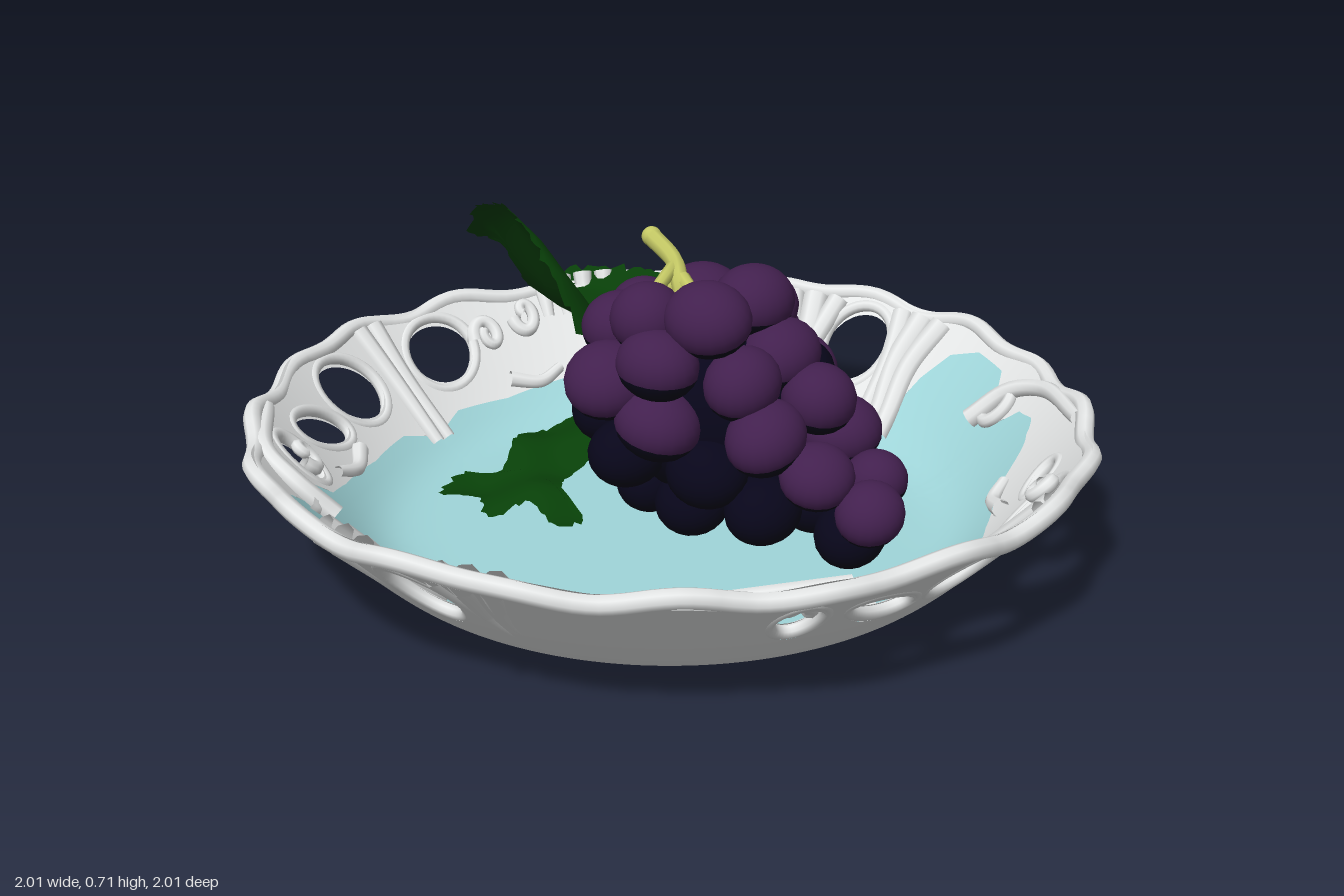
import * as THREE from 'three';

const mat = (name, color, side = THREE.FrontSide) => {
  const m = new THREE.MeshStandardMaterial({ color, side });
  m.name = name;
  return m;
};
const DEG = Math.PI / 180;
const V = (x, y, z) => new THREE.Vector3(x, y, z);

// piecewise-linear lookup in [[x, y], ...]
function lookup(keys, x) {
  for (let i = 1; i < keys.length; i++) {
    if (x <= keys[i][0]) {
      const [a, b] = [keys[i - 1], keys[i]];
      return a[1] + (b[1] - a[1]) * THREE.MathUtils.clamp((x - a[0]) / (b[0] - a[0]), 0, 1);
    }
  }
  return keys[keys.length - 1][1];
}

// bowl: height by radius, scalloped rim radius, outer limit of the glaze
const height = r => 0.037 * Math.log(1 + Math.exp((r - 0.68) / 0.035));
const rimRadius = a => 0.967 + 0.006 * Math.cos(4 * a) + 0.008 * Math.cos(20 * a);
const GLAZE = [[0, 0.7], [8, 0.66], [13, 0.72], [16, 0.84], [19, 0.9], [24, 0.925], [31, 0.915], [35, 0.86],
  [38, 0.82], [42, 0.86], [46, 0.83], [49, 0.79], [56, 0.77], [70, 0.75], [82, 0.755], [90, 0.72]];
const glazeRadius = a => lookup(GLAZE, Math.atan2(Math.abs(Math.cos(a)), Math.abs(Math.sin(a))) / DEG)
  + 0.07 * Math.exp(-(((a / DEG - 41) / 6) ** 2));
const onBowl = (deg, r, lift = 0.02) =>
  V(r * Math.sin(deg * DEG), height(r) + lift, r * Math.cos(deg * DEG));

// pierced openings: angle, radius, half width, half height, tilt
const HOLES = [[90, 0.872, 0.092, 0.08, 0], [-90, 0.872, 0.092, 0.08, 0],
  [24, 0.87, 0.06, 0.034, 0.3]];
for (const base of [0, 180]) {
  for (const s of [-1, 1]) HOLES.push([base + s * 11.2, 0.88, 0.104, 0.068, s * 0.12]);
  // the outer pair is cut on the model's right only
  const s = base ? 1 : -1;
  HOLES.push([base + s * 25, 0.862, 0.098, 0.042, s * 0.3], [base + s * 38, 0.868, 0.056, 0.056, 0]);
}

// moves a point inside an opening onto its edge
function pierce(a, r) {
  for (const [deg, r0, w, h, tilt] of HOLES) {
    let da = a - deg * DEG;
    da = Math.atan2(Math.sin(da), Math.cos(da));
    const p = da * r0, q = r - r0, c = Math.cos(tilt), s = Math.sin(tilt);
    const d = Math.hypot((p * c + q * s) / w, (q * c - p * s) / h);
    if (d < 1) {
      const k = 1 / Math.max(d, 0.01);
      return { a: deg * DEG + da * k, r: r0 + q * k, inside: true };
    }
  }
  return { a, r, inside: false };
}

function gridGeometry(pos, index) {
  const g = new THREE.BufferGeometry();
  g.setAttribute('position', new THREE.Float32BufferAttribute(pos, 3));
  g.setIndex(index);
  g.computeVertexNormals();
  return g;
}

// ring of bowl surface between two radii
function bowlBand(from, to, rows, lift, up, pierced) {
  const N = 360, pos = [], inside = [], index = [];
  for (let j = 0; j <= rows; j++) {
    for (let i = 0; i < N; i++) {
      const a = i / N * Math.PI * 2;
      const r = THREE.MathUtils.lerp(from(a), to(a), j / rows);
      const p = pierced ? pierce(a, r) : { a, r, inside: false };
      pos.push(p.r * Math.sin(p.a), height(p.r) + lift, p.r * Math.cos(p.a));
      inside.push(p.inside);
    }
  }
  for (let j = 0; j < rows; j++) {
    for (let i = 0; i < N; i++) {
      const a = j * N + i, b = j * N + (i + 1) % N, c = a + N, d = b + N;
      if (inside[a] && inside[b] && inside[c] && inside[d]) continue;
      if (up) index.push(a, c, b, b, c, d);
      else index.push(a, b, c, b, d, c);
    }
  }
  return gridGeometry(pos, index);
}

// tube whose radius runs from r0 to r1
function taperTube(points, r0, r1, seg = 24) {
  const path = new THREE.CatmullRomCurve3(points);
  const g = new THREE.TubeGeometry(path, seg, 1, 8);
  const p = g.attributes.position, v = V(0, 0, 0);
  for (let i = 0; i <= seg; i++) {
    const c = path.getPointAt(i / seg), r = THREE.MathUtils.lerp(r0, r1, i / seg);
    for (let j = 0; j <= 8; j++) {
      v.fromBufferAttribute(p, i * 9 + j).sub(c).multiplyScalar(r).add(c);
      p.setXYZ(i * 9 + j, v.x, v.y, v.z);
    }
  }
  return g;
}
const loopTube = (pts, seg, r) =>
  new THREE.TubeGeometry(new THREE.CatmullRomCurve3(pts, true), seg, r, 8, true);

// serrated leaf from an outline in x and z, with a height rule
function leafGeometry(outline, heightAt) {
  const N = 120, R = 18, pos = [], index = [];
  const curve = new THREE.CatmullRomCurve3(outline.map(([x, z]) => V(x, 0, z)), true, 'centripetal');
  const edge = curve.getSpacedPoints(N).slice(0, N);
  const mid = edge.reduce((s, p) => s.add(p), V(0, 0, 0)).divideScalar(N);
  for (let j = 0; j <= R; j++) {
    for (let i = 0; i < N; i++) {
      const tooth = j === R ? 1 + 0.04 * ((i % 4) / 3 - 0.5) + 0.03 * Math.sin(i * 2.3) : 1;
      const p = mid.clone().lerp(edge[i], Math.max(j / R, 0.001) * tooth);
      pos.push(p.x, heightAt(p.x, p.z), p.z);
      if (j === R) continue;
      const a = j * N + i, b = j * N + (i + 1) % N;
      index.push(a, a + N, b, b, a + N, b + N);
    }
  }
  return gridGeometry(pos, index);
}

export function createModel() {
  const model = new THREE.Group();
  const white = mat('porcelain white', 0xe6e8e8, THREE.DoubleSide);
  const glaze = mat('pale turquoise glaze', 0xa0d6da);
  const purple = mat('grape purple', 0x42204e);
  const navy = mat('dark grape', 0x08061a);
  const green = mat('leaf green', 0x083f08, THREE.DoubleSide);
  const lime = mat('stem green', 0xc3c764);
  const add = (name, geo, m, parent = model) => {
    const mesh = new THREE.Mesh(geo, m);
    mesh.name = name;
    parent.add(mesh);
    return mesh;
  };
  const group = name => {
    const g = new THREE.Group();
    g.name = name;
    model.add(g);
    return g;
  };

  // bowl shell
  const bowl = group('bowl');
  add('bowlBase', bowlBand(() => 0.001, () => 0.62, 6, 0, false, false), white, bowl);
  add('bowlOutside', bowlBand(() => 0.62, rimRadius, 30, 0, false, true), white, bowl);
  add('bowlGlaze', bowlBand(() => 0.001, glazeRadius, 24, 0.035, true, false), glaze, bowl);
  add('bowlInside', bowlBand(glazeRadius, rimRadius, 28, 0.036, true, true), white, bowl);

  // rolled rim
  const rim = [];
  for (let i = 0; i < 120; i++) {
    rim.push(onBowl(i * 3, rimRadius(i * 3 * DEG), 0.018 + 0.008 * Math.sin(i * 36 * DEG)));
  }
  add('rim', loopTube(rim, 240, 0.022), white, bowl);

  // raised frames around the openings
  for (const [deg, r0, w, h, tilt] of HOLES) {
    const pts = [];
    for (let i = 0; i < 20; i++) {
      const t = i / 20 * Math.PI * 2, u = Math.cos(t) * w * 1.06, v = Math.sin(t) * h * 1.06;
      const p = u * Math.cos(tilt) - v * Math.sin(tilt), q = u * Math.sin(tilt) + v * Math.cos(tilt);
      pts.push(onBowl(deg + p / r0 / DEG, r0 + q));
    }
    add('openingFrame', loopTube(pts, 40, 0.016), white, bowl);
  }

  // curled scroll lying on the wall
  const scroll = (deg, r, size, dir, lift = 0.04) => {
    const pts = [];
    for (let i = 0; i <= 16; i++) {
      const t = i / 16, a = dir * t * 7, s = size * (1 - 0.75 * t);
      pts.push(onBowl(deg + Math.cos(a) * s / r / DEG, r + Math.sin(a) * s, lift + 0.02 * t));
    }
    add('scroll', taperTube(pts, 0.02, 0.014, 40), white, bowl);
  };
  for (const side of [90, -90]) {
    for (const s of [-1, 1]) {
      // fluted shells beside the side openings
      [[10, 9.5, 14, 0.036], [14, 12.5, 16, 0.034], [6, 8, 10, 0.03]].forEach(([a, b, c, w], k) => {
        add('flute', taperTube([onBowl(side + s * a, 0.95, 0.03), onBowl(side + s * b, 0.85, 0.036),
          onBowl(side + s * (b + c) / 2, 0.75, 0.04), onBowl(side + s * c, 0.67 + 0.02 * k, 0.045)], w, 0.024), white, bowl);
      });
      // corner scrolls and the branches that join them to the rim
      const corner = side + s * 37;
      scroll(corner, 0.86, 0.045, s);
      add('branch', taperTube([onBowl(corner - s * 3, 0.8, 0.06), onBowl(corner, 0.88, 0.055),
        onBowl(corner + s * 6, 0.93, 0.04), onBowl(corner + s * 20, 0.95, 0.035)], 0.025, 0.018), white, bowl);
      add('innerSpray', taperTube([onBowl(side + s * 57, 0.79, 0.04), onBowl(side + s * 62, 0.76, 0.05),
        onBowl(side + s * 68, 0.78, 0.045)], 0.014, 0.022), white, bowl);
    }
  }
  // small curls on the unpierced stretches and in the round openings
  scroll(16, 0.87, 0.03, 1);
  scroll(-38, 0.855, 0.03, 1);
  scroll(218, 0.855, 0.03, -1);
  scroll(159, 0.87, 0.04, 1);
  scroll(151, 0.9, 0.035, -1);
  scroll(155, 0.9, 0.04, 1, -0.01);
  scroll(149, 0.88, 0.03, -1, -0.012);
  // low fan on the rim behind the large leaf
  for (let i = 0; i < 6; i++) {
    const a = 129 + i * 3.5, top = 0.045 + 0.015 * Math.sin(i / 5 * Math.PI);
    add('rimFan', taperTube([onBowl(a, 0.9, 0.03), onBowl(a, 0.945, 0.04), onBowl(a, 0.965, top)], 0.016, 0.026, 8), white, bowl);
  }
  // paired ribs at front and back
  for (const base of [0, 180]) {
    for (const s of [-1, 1]) {
      add('rib', taperTube([onBowl(base + s * 1.6, 0.965, 0.028), onBowl(base + s * 1.2, 0.85, 0.032),
        onBowl(base + s * 1.6, 0.71, 0.035)], 0.028, 0.018), white, bowl);
    }
  }

  // grapes: purple above, dark underneath
  const grapes = group('grapes');
  const cap = new THREE.SphereGeometry(1, 20, 10, 0, Math.PI * 2, 0, Math.PI * 0.57);
  const under = new THREE.SphereGeometry(1, 20, 6, 0, Math.PI * 2, Math.PI * 0.57, Math.PI * 0.43);
  const whole = new THREE.SphereGeometry(1, 20, 14);
  const place = (mesh, [x, y, z], r, i) => {
    mesh.position.set(x, y, z);
    mesh.scale.set(r * (1.08 + 0.1 * Math.sin(i * 2.1)), r * 0.93, r * (1.08 + 0.1 * Math.cos(i * 1.7)));
    mesh.rotation.set(0.15 + 0.2 * Math.sin(i * 3.1), 0, 0.25 + 0.2 * Math.cos(i * 2.7));
  };
  const upper = [
    [-0.11, 0.62, 0.18], [0.06, 0.62, 0.19], [-0.13, 0.6, 0.03], [0.19, 0.56, 0.12], [0.18, 0.55, -0.03],
    [0.07, 0.53, -0.12], [-0.07, 0.54, -0.09], [-0.2, 0.46, -0.03], [-0.19, 0.52, 0.1], [-0.09, 0.48, 0.26],
    [0.05, 0.51, 0.27], [0.17, 0.44, 0.24], [0.23, 0.47, 0.11], [0.21, 0.47, -0.13],
    [0.37, 0.36, -0.02], [-0.19, 0.38, 0.1], [-0.1, 0.37, 0.33], [0.04, 0.43, 0.38], [0.12, 0.33, 0.39],
    [-0.06, 0.29, 0.44], [0.08, 0.25, 0.51], [-0.03, 0.22, 0.56], [0.22, 0.33, 0.25]];
  upper.forEach((p, i) => {
    const r = p[2] > 0.4 ? 0.074 : 0.086;
    place(add('grapeTop', cap, purple, grapes), p, r, i);
    place(add('grapeUnderside', under, navy, grapes), p, r, i);
  });
  const lower = [
    [-0.14, 0.27, 0.2], [-0.17, 0.28, 0], [-0.1, 0.34, -0.11], [0.07, 0.34, -0.13], [0.2, 0.3, -0.12],
    [0.29, 0.27, 0.06], [0.31, 0.35, -0.1], [0.2, 0.22, 0.2], [0.06, 0.17, 0.36], [0.01, 0.14, 0.49],
    [-0.09, 0.19, 0.32], [0.1, 0.14, 0.12], [-0.05, 0.14, 0.1], [0, 0.14, -0.05], [0.18, 0.15, 0],
    [0.28, 0.44, -0.02], [0.3, 0.41, -0.1], [0.12, 0.45, 0.28]];
  lower.forEach((p, i) => place(add('darkGrape', whole, navy, grapes), p, 0.082, i));
  const core = add('clusterCore', whole, navy, grapes);
  core.position.set(0.03, 0.36, 0.1);
  core.scale.set(0.2, 0.23, 0.23);

  // forked stem with small knots
  const stem = group('stem');
  add('mainStem', taperTube([V(0.03, 0.5, 0.03), V(0.04, 0.63, 0), V(0.09, 0.66, -0.05), V(0.14, 0.69, -0.15)], 0.018, 0.023), lime, stem);
  add('sideStem', taperTube([V(-0.04, 0.62, -0.02), V(0.02, 0.645, -0.025), V(0.08, 0.655, -0.04)], 0.014, 0.018), lime, stem);
  add('lowerStem', taperTube([V(0.02, 0.58, 0.09), V(0.03, 0.62, 0.04), V(0.05, 0.64, 0)], 0.016, 0.018), lime, stem);
  add('backStem', taperTube([V(0.04, 0.63, 0), V(0.03, 0.59, -0.04), V(0, 0.55, -0.06)], 0.015, 0.015), lime, stem);
  for (const [x, y, z] of [[0.14, 0.69, -0.15], [0.02, 0.59, 0.08], [0.05, 0.59, 0.03], [0.01, 0.56, -0.04], [0.05, 0.57, -0.03]]) {
    const knot = add('stemKnot', whole, lime, stem);
    knot.position.set(x, y, z);
    knot.scale.setScalar(0.024);
  }

  // large leaf: raised along its inner edge, dropping steeply to a flat outer half
  const CREST = [[-0.88, 0.52], [-0.8, 0.63], [-0.65, 0.69], [-0.5, 0.64], [-0.38, 0.56], [-0.28, 0.42]];
  const INNER = [[-0.87, 0.28], [-0.65, 0.16], [-0.45, 0.09], [-0.31, 0.04]];
  add('largeLeaf', leafGeometry(
    [[0.33, -0.87], [0.39, -0.8], [0.5, -0.81], [0.63, -0.83], [0.69, -0.7], [0.71, -0.5], [0.63, -0.38],
      [0.48, -0.34], [0.35, -0.33], [0.2, -0.3], [0.05, -0.3], [0.06, -0.38], [0.14, -0.55], [0.2, -0.66], [0.26, -0.8]],
    (x, z) => {
      const fall = 1 - THREE.MathUtils.smoothstep((x - lookup(INNER, z)) / 0.28, 0, 1);
      return 0.33 + (lookup(CREST, z) - 0.33) * fall + 0.4 * Math.max(0, x - 0.6);
    }), green);

  // small leaves drooping on each side of the cluster
  add('smallLeafRight', leafGeometry(
    [[-0.4, -0.37], [-0.3, -0.38], [-0.26, -0.3], [-0.15, -0.33], [-0.02, -0.27], [0.02, -0.17], [-0.1, -0.12],
      [-0.22, -0.14], [-0.3, -0.08], [-0.31, -0.02], [-0.38, -0.03], [-0.35, -0.15], [-0.41, -0.22], [-0.36, -0.29]],
    (x, z) => 0.27 + 0.28 * x + 0.02 * Math.sin(x * 25) * Math.cos(z * 20)), green);
  add('smallLeafLeft', leafGeometry(
    [[0.28, -0.24], [0.4, -0.29], [0.5, -0.32], [0.58, -0.27], [0.73, -0.26], [0.71, -0.16], [0.62, -0.11],
      [0.59, 0.03], [0.5, -0.01], [0.4, 0.01], [0.3, -0.04]],
    (x, z) => 0.13 - 0.6 * z + 0.02 * Math.sin(x * 22)), green);

  return model;
}
